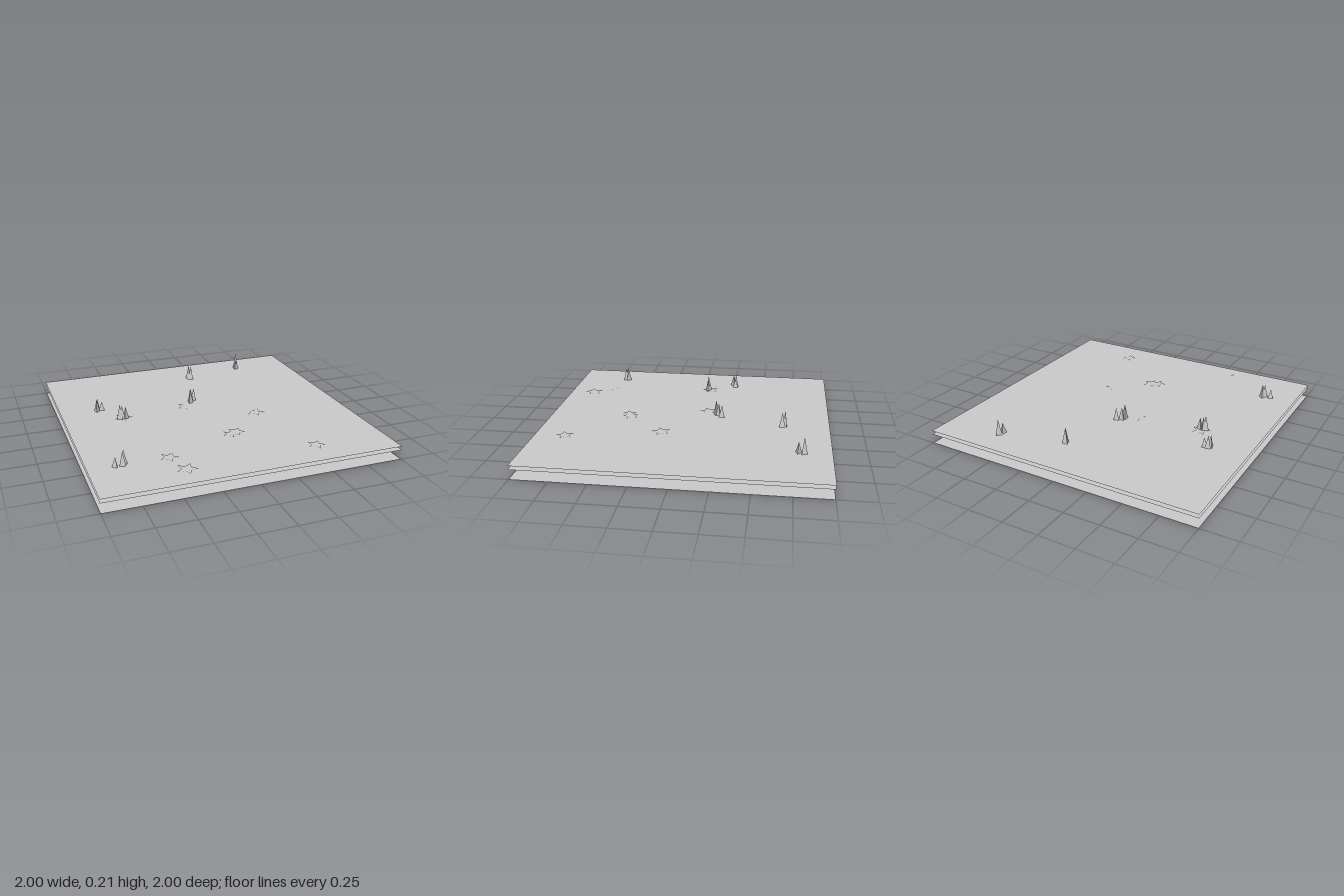
import * as THREE from 'three';

export function createModel() {
  const model = new THREE.Group();
  const grey = new THREE.MeshStandardMaterial({ color: 0xcccccc, side: THREE.DoubleSide });
  grey.name = 'light grey';

  const add = (geometry, name, x, y, z, parent = model) => {
    const mesh = new THREE.Mesh(geometry, grey);
    mesh.name = name;
    mesh.position.set(x, y, z);
    parent.add(mesh);
    return mesh;
  };
  const sheet = (segments) => new THREE.PlaneGeometry(2, 2, segments, segments).rotateX(-Math.PI / 2);

  // Two flat layers under the ground
  add(sheet(1), 'bottomLayer', 0, 0, 0);
  add(sheet(1), 'middleLayer', 0, 0.067, 0);

  // Very gently rolling ground, level along its rim
  const ground = sheet(20);
  const pos = ground.attributes.position;
  for (let i = 0; i < pos.count; i++) {
    const x = pos.getX(i), z = pos.getZ(i);
    const rim = (1 - x * x) * (1 - z * z);
    pos.setY(i, 0.003 * rim * Math.sin(x * 5 + 0.5) * Math.cos(z * 4 + 1));
  }
  ground.computeVertexNormals();
  add(ground, 'ground', 0, 0.093, 0);

  // Flat five-pointed stars lying on the ground, one tip to the front: x, z, radius
  const starShape = new THREE.Shape();
  for (let i = 0; i < 10; i++) {
    const r = i % 2 ? 0.47 : 1;
    const a = -Math.PI / 2 + (i * Math.PI) / 5;
    starShape[i ? 'lineTo' : 'moveTo'](r * Math.cos(a), r * Math.sin(a));
  }
  starShape.closePath();
  const starGeometry = new THREE.ShapeGeometry(starShape).rotateX(-Math.PI / 2);
  const stars = new THREE.Group();
  stars.name = 'stars';
  model.add(stars);
  [
    [-0.59, -0.09, 0.068], [-0.11, -0.125, 0.068], [0.145, 0.005, 0.076],
    [0.33, 0.152, 0.07], [0.068, 0.42, 0.065], [0.02, 0.44, 0.058],
    [-0.475, 0.635, 0.066], [-0.42, 0.822, 0.073], [0.482, 0.79, 0.063],
  ].forEach(([x, z, r], i) => {
    add(starGeometry, 'star', x, 0.097 + i * 0.0002, z, stars).scale.set(r, 1, r);
  });

  // Clusters of three-sided spikes: x, z, height of the tip
  const spikeGeometry = new THREE.ConeGeometry(0.026, 1, 3, 1, true).toNonIndexed();
  spikeGeometry.translate(0, 0.5, 0);
  spikeGeometry.computeVertexNormals();
  const base = 0.085;
  const clusters = [
    [[0.11, -0.69, 0.205], [0.122, -0.67, 0.2]],
    [[0.57, -0.815, 0.21], [0.56, -0.78, 0.17]],
    [[-0.74, -0.265, 0.18], [-0.73, -0.285, 0.185], [-0.7, -0.28, 0.16]],
    [[-0.615, -0.072, 0.205], [-0.6, -0.075, 0.19], [-0.575, -0.073, 0.18]],
    [[-0.05, -0.19, 0.205], [-0.038, -0.21, 0.185], [-0.007, -0.235, 0.185]],
    [[-0.822, 0.64, 0.16], [-0.775, 0.637, 0.19], [-0.765, 0.618, 0.195]],
  ];
  clusters.forEach((spikes, c) => {
    const group = new THREE.Group();
    group.name = 'spikeCluster';
    model.add(group);
    spikes.forEach(([x, z, tip], i) => {
      const spike = add(spikeGeometry, 'spike', x, base, z, group);
      spike.scale.y = tip - base;
      spike.rotation.y = c * 0.9 + i * 0.5;
    });
  });

  return model;
}
